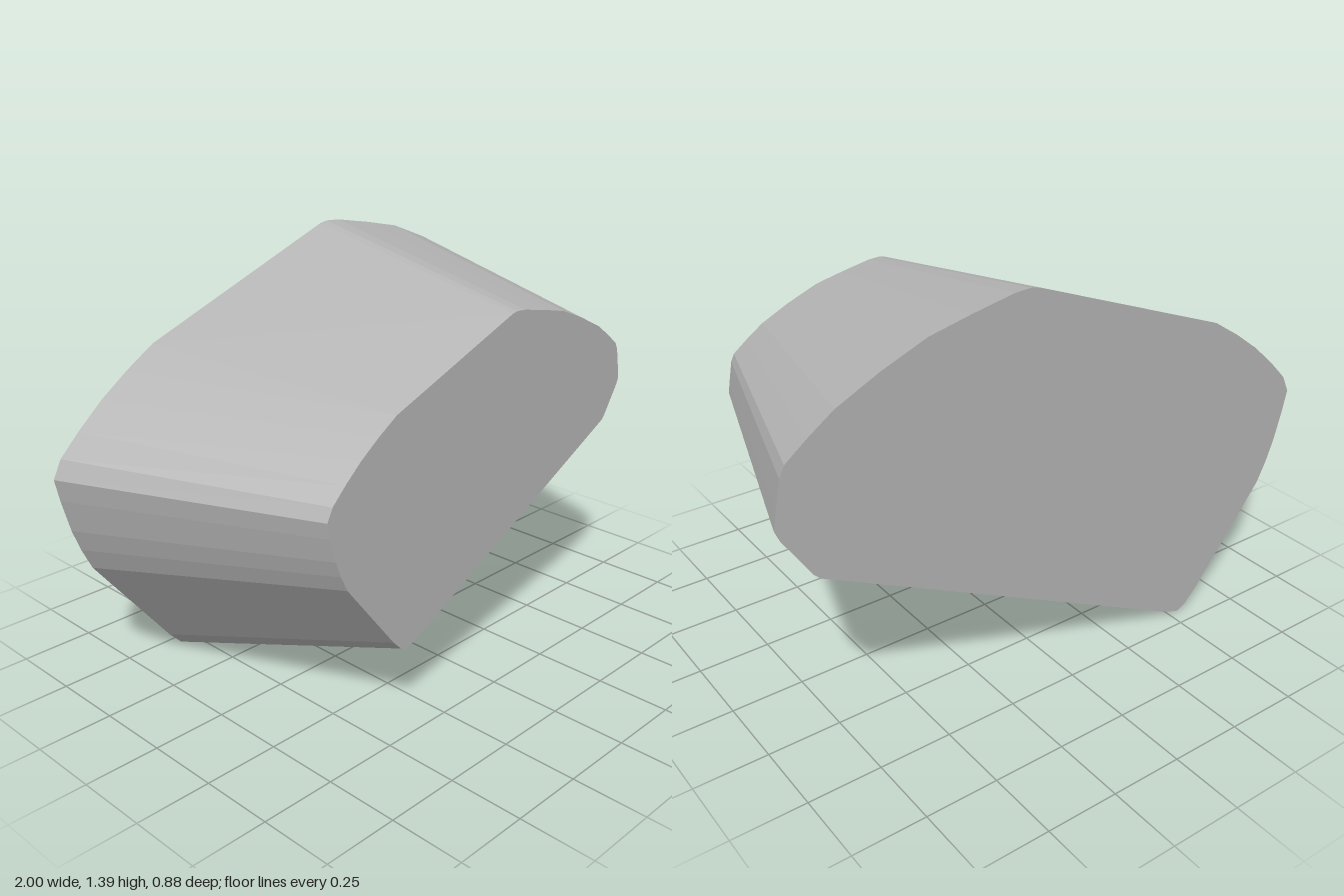
import * as THREE from 'three';

// Outline of the large back face, clockwise from the left corner
const OUTLINE = [
  [-1, 0.755], [-0.97, 0.815], [-0.9, 0.885], [-0.81, 0.965], [-0.71, 1.038], [-0.605, 1.105],
  [0.13, 1.388], [0.16, 1.393], [0.215, 1.39], [0.36, 1.362], [0.505, 1.33], [0.66, 1.268],
  [0.8, 1.2], [0.885, 1.14], [0.955, 1.085], [0.972, 1.05], [0.99, 0.955], [1, 0.9],
  [0.985, 0.865], [0.895, 0.725], [0.875, 0.705],
  [-0.45, 0.037], [-0.5, 0.015], [-0.54, 0.002], [-0.575, 0.018], [-0.62, 0.065],
  [-0.895, 0.42], [-0.93, 0.495], [-0.957, 0.57], [-0.985, 0.68],
];
const DEPTH = 0.88;
const TAPER = 0.7;

export function createModel() {
  const model = new THREE.Group();
  const grey = new THREE.MeshStandardMaterial({ color: 0xb4b4b4 });
  grey.name = 'grey';

  const shape = new THREE.Shape(OUTLINE.map(([x, y]) => new THREE.Vector2(x, y)));
  const geometry = new THREE.ExtrudeGeometry(shape, { depth: DEPTH, bevelEnabled: false });
  geometry.translate(0, 0, -DEPTH / 2);

  // Shrink the front face so the sides taper
  const p = geometry.attributes.position;
  for (let i = 0; i < p.count; i++) {
    if (p.getZ(i) > 0) p.setXY(i, p.getX(i) * TAPER + 0.013, p.getY(i) * TAPER + 0.256);
  }
  geometry.computeVertexNormals();

  const block = new THREE.Mesh(geometry, grey);
  block.name = 'taperedBlock';
  model.add(block);
  return model;
}
